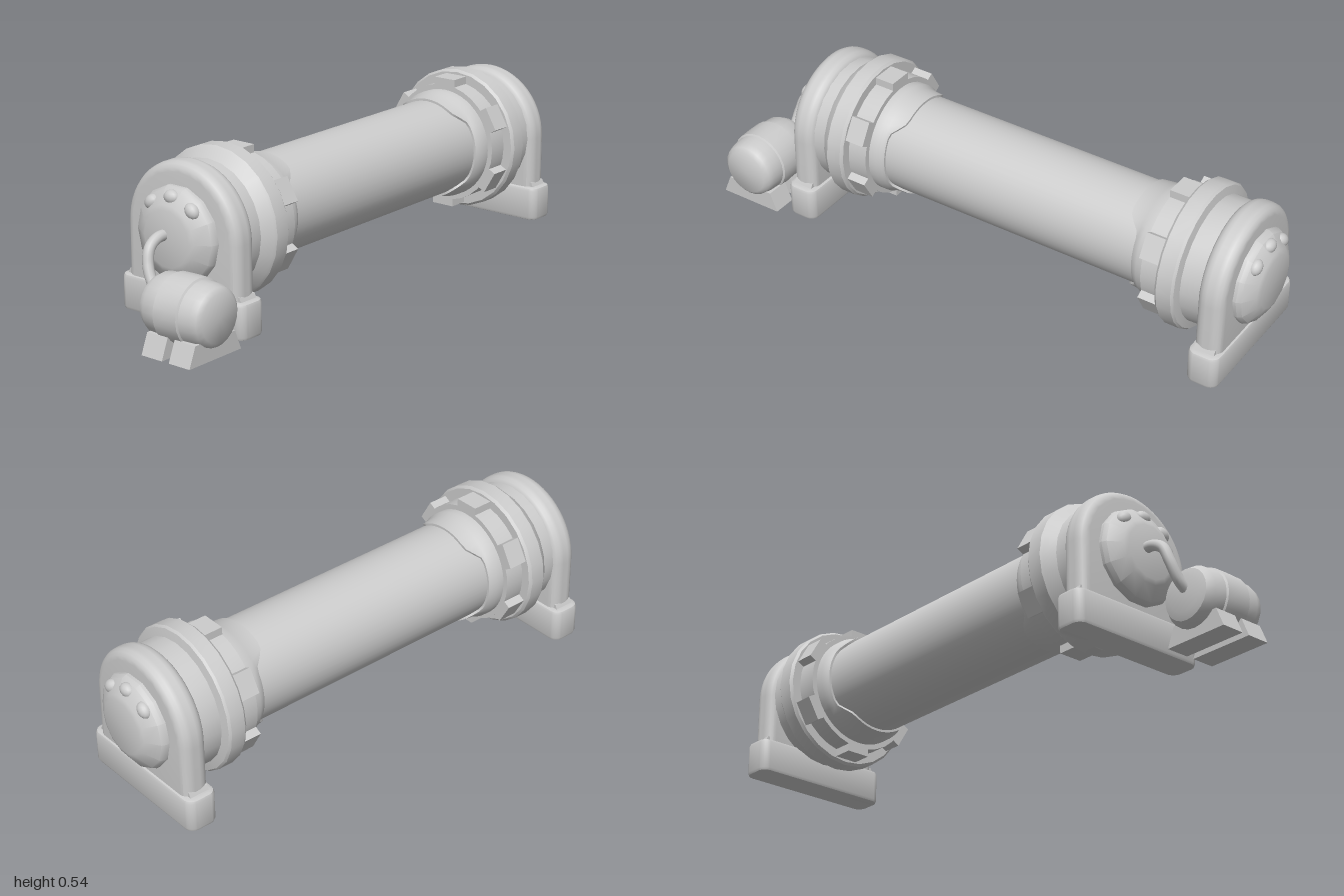
import * as THREE from 'three';
import { toCreasedNormals } from 'three/addons/utils/BufferGeometryUtils.js';

const material = new THREE.MeshStandardMaterial({ color: 0xcccccc, side: THREE.DoubleSide });
const AXIS_Y = 0.294;

function add(parent, name, geometry, x = 0, y = 0, z = 0) {
  const mesh = new THREE.Mesh(geometry, material);
  mesh.name = name;
  mesh.position.set(x, y, z);
  parent.add(mesh);
  return mesh;
}

// Revolved profile of [radius, position] pairs, lying along x
function turned(profile, sides = 32, crease = 0.5) {
  const points = profile.map(([r, p]) => new THREE.Vector2(r, p));
  return toCreasedNormals(new THREE.LatheGeometry(points, sides).rotateZ(-Math.PI / 2), crease);
}

function polygon(points) {
  return new THREE.Shape(points.map(([x, y]) => new THREE.Vector2(x, y)));
}

// Sleeve whose inner edge reaches further along the tube at top and bottom
function sleeveGeometry() {
  const points = [[0.166, 0.432], [0.176, 0.432], [0.181, 0.487], [0.19, 0.505], [0.19, 0.545]];
  const g = new THREE.LatheGeometry(points.map(([r, p]) => new THREE.Vector2(r, p)), 48);
  g.rotateZ(-Math.PI / 2);
  const pos = g.attributes.position;
  for (let i = 0; i < pos.count; i++) {
    if (pos.getX(i) > 0.45) continue;
    const height = Math.abs(pos.getY(i)) / Math.hypot(pos.getY(i), pos.getZ(i));
    pos.setX(i, 0.432 + 0.048 * (1 - THREE.MathUtils.smoothstep(height, 0.55, 0.85)));
  }
  return toCreasedNormals(g, 0.6);
}

// Arched upright with a rounded rim
function archGeometry() {
  const r = 0.2;
  const shape = new THREE.Shape();
  shape.moveTo(-r, 0.07);
  shape.lineTo(r, 0.07);
  shape.lineTo(r, AXIS_Y);
  shape.absarc(0, AXIS_Y, r, 0, Math.PI, false);
  shape.closePath();
  const g = new THREE.ExtrudeGeometry(shape, {
    depth: 0.02, bevelThickness: 0.036, bevelSize: 0.03, bevelSegments: 4, curveSegments: 14,
  });
  return toCreasedNormals(g.translate(0, 0, -0.01).rotateY(Math.PI / 2), 0.6);
}

// Foot block with rounded vertical corners and a softened top edge
function footGeometry() {
  const w = 0.044, d = 0.245, r = 0.022;
  const shape = new THREE.Shape();
  shape.absarc(w - r, d - r, r, 0, Math.PI / 2, false);
  shape.absarc(r - w, d - r, r, Math.PI / 2, Math.PI, false);
  shape.absarc(r - w, r - d, r, Math.PI, Math.PI * 1.5, false);
  shape.absarc(w - r, r - d, r, Math.PI * 1.5, Math.PI * 2, false);
  shape.closePath();
  const g = new THREE.ExtrudeGeometry(shape, {
    depth: 0.096, bevelThickness: 0.012, bevelSize: 0.012, bevelSegments: 2, curveSegments: 4,
  });
  return toCreasedNormals(g.translate(0, 0, 0.012).rotateX(-Math.PI / 2), 0.6);
}

function createEnd(name, chamfer) {
  const end = new THREE.Group();
  end.name = name;
  add(end, 'sleeve', sleeveGeometry(), 0, AXIS_Y);

  // Clamp ring with six lugs
  add(end, 'clampRing', turned([[0.16, 0.533], [0.208, 0.533], [0.208, 0.61]], 32), 0, AXIS_Y);
  for (let i = 0; i < 6; i++) {
    const a = Math.PI / 2 + i * Math.PI / 3;
    const lug = add(end, 'clampLug', new THREE.BoxGeometry(0.07, 0.06, 0.085),
      0.568, AXIS_Y + Math.sin(a) * 0.2, Math.cos(a) * 0.2);
    lug.rotation.x = Math.PI / 2 - a;
  }

  // Wide flange and the neck behind it
  add(end, 'flange', turned([
    [0.18, 0.603], [0.24, 0.603], [0.248, 0.612], [0.248, 0.664],
    [0.242, 0.672], [0.214, 0.672 + chamfer], [0.212, 0.76],
  ], 24), 0, AXIS_Y);

  // Bracket
  add(end, 'bracketArch', archGeometry(), 0.788);
  add(end, 'bracketFoot', footGeometry(), 0.787);
  // Sloped shoulders joining foot and arch
  const shoulder = new THREE.ExtrudeGeometry(
    polygon([[-0.245, 0.1], [0.245, 0.1], [0.228, 0.135], [-0.228, 0.135]]),
    { depth: 0.07, bevelEnabled: false });
  add(end, 'bracketShoulder', shoulder.translate(0, 0, -0.035).rotateY(Math.PI / 2), 0.787);

  // Domed end cap with three bolt heads
  add(end, 'endCap', turned([
    [0.16, 0.82], [0.16, 0.845], [0.153, 0.86], [0.108, 0.89], [0.092, 0.896], [0, 0.896],
  ], 14, 0.6), 0, AXIS_Y);
  for (const offset of [-0.7, 0, 0.7]) {
    const bolt = add(end, 'capBolt', new THREE.SphereGeometry(1, 14, 10),
      0.866, AXIS_Y + 0.128 * Math.cos(offset), 0.128 * Math.sin(offset));
    bolt.scale.set(0.022, 0.023, 0.029);
    bolt.rotation.x = offset;
  }
  return end;
}

function createPump() {
  const pump = new THREE.Group();
  pump.name = 'pump';
  const profile = [
    [0, 0.022], [0.06, 0.022], [0.085, 0.03], [0.1, 0.055], [0.103, 0.1],
    [0.109, 0.104], [0.11, 0.15], [0.109, 0.196], [0.103, 0.2],
    [0.1, 0.24], [0.093, 0.262], [0.078, 0.274], [0, 0.276],
  ];
  add(pump, 'pumpBody', turned(profile, 24, 0.7).rotateY(-Math.PI / 2), -0.883, 0.132);

  // Two tapered feet
  const foot = polygon([[-0.115, 0], [0.115, 0], [0.088, 0.066], [-0.088, 0.066]]);
  for (const z of [0.063, 0.174]) {
    add(pump, 'pumpFoot', new THREE.ExtrudeGeometry(foot, { depth: 0.083, bevelEnabled: false }), -0.885, 0, z);
  }

  // Bent pipe from the end cap to the back of the pump
  const path = new THREE.CatmullRomCurve3([
    [-0.76, 0.303, -0.035], [-0.815, 0.303, -0.035], [-0.855, 0.28, -0.032],
    [-0.873, 0.23, -0.022], [-0.88, 0.175, 0.005], [-0.883, 0.14, 0.045],
  ].map((p) => new THREE.Vector3(...p)));
  add(pump, 'pipe', new THREE.TubeGeometry(path, 32, 0.018, 12));
  return pump;
}

export function createModel() {
  const model = new THREE.Group();
  model.name = 'tubeWithPump';

  const vessel = new THREE.Group();
  vessel.name = 'vessel';
  vessel.position.set(0.104, 0, -0.022);
  const tube = new THREE.CylinderGeometry(0.168, 0.168, 1.16, 48, 1, true).rotateZ(Math.PI / 2);
  add(vessel, 'mainTube', tube, 0, AXIS_Y);
  const left = createEnd('leftEnd', 0.006);
  const right = createEnd('rightEnd', 0.03);
  right.rotation.y = Math.PI;
  vessel.add(left, right);

  model.add(vessel, createPump());
  return model;
}
